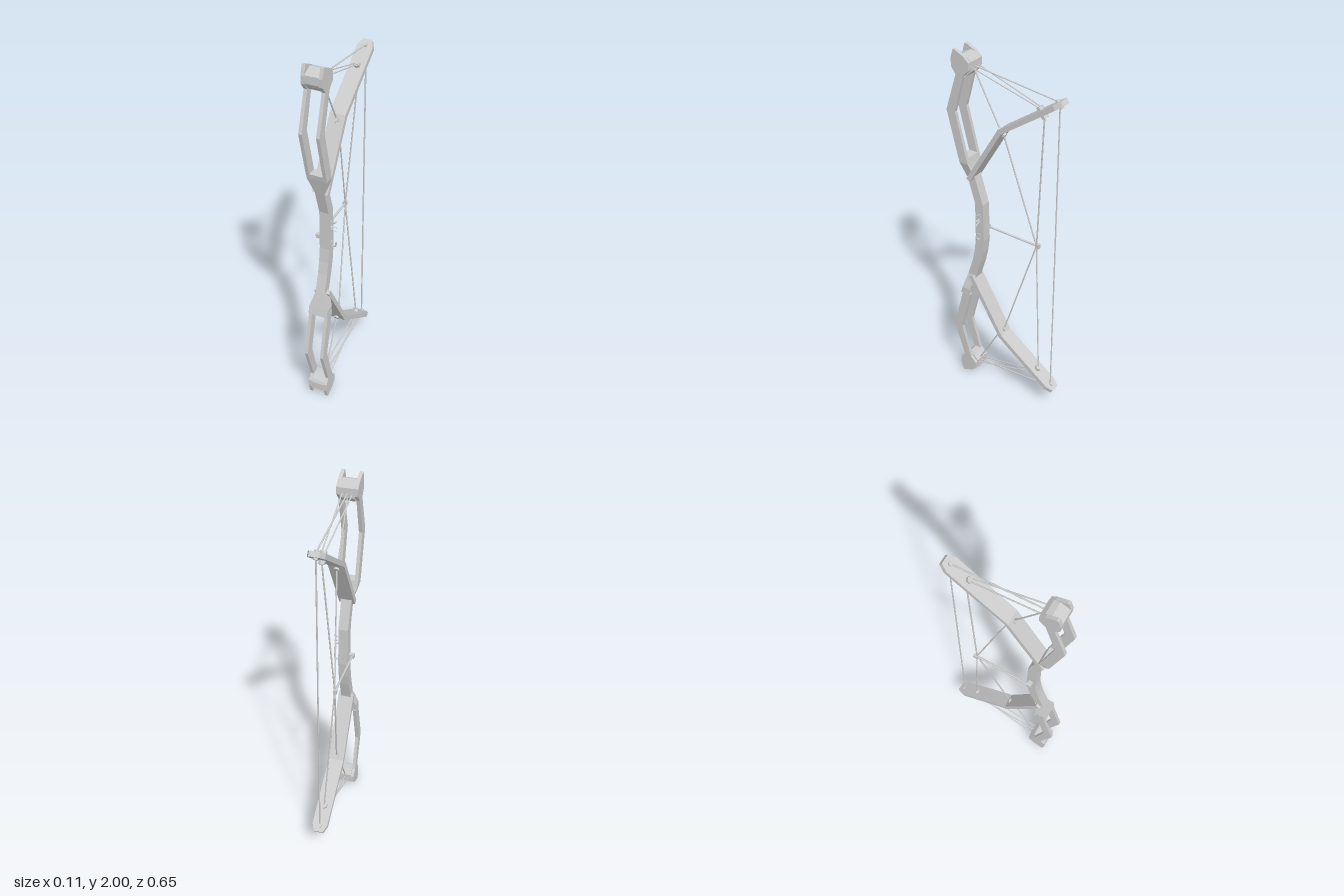
import * as THREE from 'three';

const mat = new THREE.MeshStandardMaterial({ color: 0xcccccc, flatShading: true });

function add(parent, name, geometry) {
  const m = new THREE.Mesh(geometry, mat);
  m.name = name;
  parent.add(m);
  return m;
}

// Skin rectangular sections [zFront, yFront, zBack, yBack, xMin, xMax], listed bottom to top
function loft(sections) {
  const pos = [], idx = [];
  for (const [zf, yf, zb, yb, x0, x1] of sections) {
    pos.push(x0, yf, zf, x1, yf, zf, x1, yb, zb, x0, yb, zb);
  }
  const last = (sections.length - 1) * 4;
  for (let a = 0; a < last; a += 4) {
    for (let i = 0; i < 4; i++) {
      const j = (i + 1) % 4;
      idx.push(a + i, a + j, a + 4 + j, a + i, a + 4 + j, a + 4 + i);
    }
  }
  idx.push(0, 2, 1, 0, 3, 2, last, last + 1, last + 2, last, last + 2, last + 3);
  const g = new THREE.BufferGeometry();
  g.setAttribute('position', new THREE.Float32BufferAttribute(pos, 3));
  g.setIndex(idx);
  const flat = g.toNonIndexed();
  flat.computeVertexNormals();
  return flat;
}

// Straight rod between two points
function rod(parent, name, a, b, r = 0.004, sides = 6) {
  const p = new THREE.Vector3(...a), q = new THREE.Vector3(...b);
  const dir = q.clone().sub(p);
  const m = add(parent, name, new THREE.CylinderGeometry(r, r, dir.length(), sides));
  m.position.copy(p).add(q).multiplyScalar(0.5);
  m.quaternion.setFromUnitVectors(new THREE.Vector3(0, 1, 0), dir.normalize());
  return m;
}

function box(parent, name, size, at) {
  add(parent, name, new THREE.BoxGeometry(...size)).position.set(...at);
}

// Upper half, symmetric in x; y is measured from the middle of the bow
function createHalf(name) {
  const half = new THREE.Group();
  half.name = name;

  // Twin rails ending in pointed cheeks
  const profile = [
    [0.42, 0.257, 0.205], [0.675, 0.322, 0.27], [0.875, 0.258, 0.215], [0.91, 0.283, 0.18],
    [0.95, 0.285, 0.18], [0.975, 0.278, 0.208], [1.0, 0.27, 0.262],
  ];
  for (const s of [-1, 1]) {
    const x0 = s > 0 ? 0.036 : -0.054, x1 = s > 0 ? 0.054 : -0.036;
    add(half, 'rail', loft(profile.map(([y, f, b]) => [f, y, b, y, x0, x1])));
  }

  // Chamfered block joining the rail ends
  add(half, 'endBlock', loft([
    [0.245, 0.872, 0.205, 0.872, -0.037, 0.037],
    [0.275, 0.9, 0.178, 0.9, -0.037, 0.037],
    [0.283, 0.915, 0.178, 0.915, -0.037, 0.037],
    [0.283, 0.955, 0.178, 0.95, -0.037, 0.037],
    [0.23, 0.978, 0.2, 0.97, -0.037, 0.037],
  ]));

  // Bent flat limb with a chamfered tip
  const t = 0.013, w = 0.042;
  const limb = [
    [0.21, 0.302, 0.862, 0.507, w], [0.013, 0.635, 0.73, 0.68, w],
    [-0.292, 0.852, 0.579, 0.815, w], [-0.325, 0.875, 0.579, 0.815, 0.025],
  ];
  add(half, 'limb', loft(limb.map(([z, y, nz, ny, hw]) =>
    [z + nz * t, y + ny * t, z - nz * t, y - ny * t, -hw, hw])));

  // Hexagonal pins through the limb: z, y, normal z, normal y, radius, half length
  const pins = [
    [0.026, 0.613, 0.86, 0.51, 0.014, 0.023],
    [-0.205, 0.79, 0.579, 0.815, 0.018, 0.031],
    [-0.298, 0.856, 0.579, 0.815, 0.012, 0.022],
  ];
  for (const [z, y, nz, ny, r, h] of pins) {
    rod(half, 'limbPin', [0, y - ny * h, z - nz * h], [0, y + ny * h, z + nz * h], r, 6);
  }

  // Cords from the pins to the end block
  rod(half, 'cord', [0, 0.868, -0.29], [0, 0.92, 0.185]);
  rod(half, 'cord', [0, 0.625, 0.035], [0, 0.91, 0.19]);
  for (const s of [-1, 1]) {
    rod(half, 'cord', [s * 0.008, 0.812, -0.19], [s * 0.025, 0.92, 0.185], 0.0035);
  }
  return half;
}

export function createModel() {
  const bow = new THREE.Group();
  bow.name = 'bow';

  // Central riser: y, front z, back z, half width
  const riser = [
    [0.57, 0.27, 0.215, 0.053], [0.61, 0.26, 0.208, 0.053], [0.7, 0.236, 0.184, 0.026],
    [0.8, 0.205, 0.153, 0.026], [0.87, 0.19, 0.137, 0.026], [0.95, 0.18, 0.127, 0.026],
    [1.17, 0.18, 0.13, 0.026], [1.31, 0.224, 0.174, 0.026], [1.4, 0.252, 0.2, 0.053],
    [1.43, 0.259, 0.207, 0.053],
  ];
  add(bow, 'riser', loft(riser.map(([y, f, b, w]) => [f, y, b, y, -w, w])));

  // The lower half is the upper one turned half round
  const upper = createHalf('upperHalf');
  const lower = createHalf('lowerHalf');
  upper.position.y = lower.position.y = 1;
  lower.rotation.z = Math.PI;
  bow.add(upper, lower);

  // Bowstring and the crossing cables drawn through the slide
  rod(bow, 'bowstring', [0, 0.14, -0.3], [0, 1.86, -0.3]);
  for (const s of [-1, 1]) {
    rod(bow, 'cable', [0, 1 + s * 0.605, 0.015], [-0.043, 1, -0.16]);
    rod(bow, 'cable', [0, 1 + s * 0.775, -0.218], [-0.043, 1, -0.16]);
  }

  // Cable guard bar with its mount and slide
  rod(bow, 'guardBar', [-0.045, 1, 0.15], [-0.045, 1, -0.165], 0.006);
  box(bow, 'guardMount', [0.034, 0.022, 0.024], [-0.039, 1, 0.152]);
  box(bow, 'cableSlide', [0.018, 0.024, 0.022], [-0.047, 1, -0.165]);

  // Sight pins fanning out from the riser's left side
  for (const [y0, y1] of [[1.095, 1.113], [1.08, 1.08], [1.07, 1.052]]) {
    rod(bow, 'sightPin', [0.02, y0, 0.155], [0.056, y1, 0.155], 0.004, 4);
  }
  for (const y of [1.102, 1.06]) box(bow, 'sightMount', [0.008, 0.018, 0.018], [0.027, y, 0.155]);

  // Hooked arrow rest
  const hook = new THREE.CatmullRomCurve3([
    [0.022, 0.963], [0.042, 0.96], [0.052, 0.968], [0.053, 0.99],
  ].map(([x, y]) => new THREE.Vector3(x, y, 0.155)));
  add(bow, 'arrowRest', new THREE.TubeGeometry(hook, 8, 0.005, 5));
  box(bow, 'restMount', [0.008, 0.034, 0.02], [0.027, 0.972, 0.155]);

  return bow;
}
